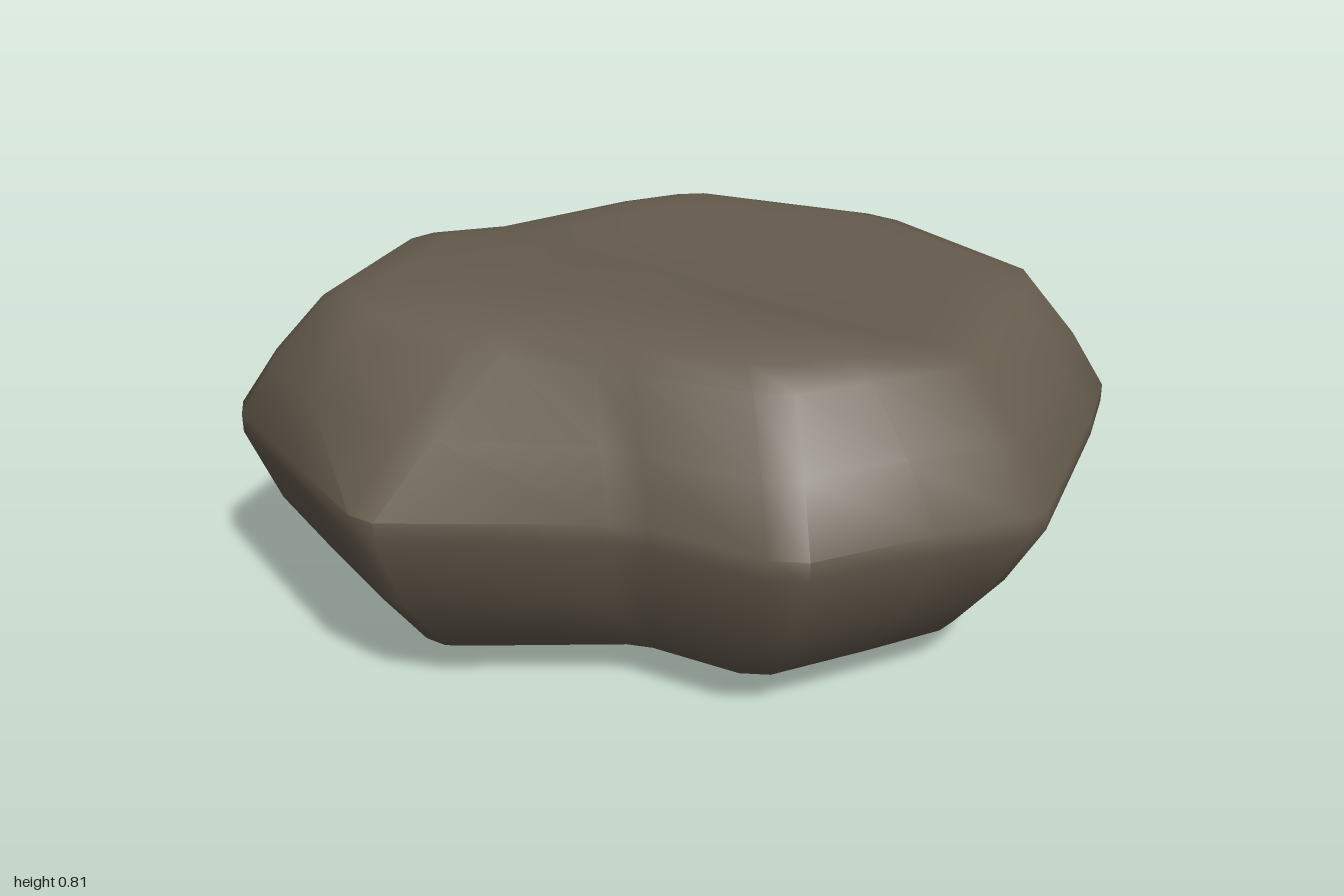
import * as THREE from 'three';
import { toCreasedNormals } from 'three/addons/utils/BufferGeometryUtils.js';

// Outline of the widest girdle and of the shoulder: [girdleX, girdleZ, shoulderX, shoulderZ]
const OUTLINE = [
  [-0.28, -1, -0.3, -0.79], [-0.2, -1, -0.22, -0.79], [0.05, -0.96, 0.04, -0.75],
  [0.5, -0.88, 0.47, -0.68], [0.79, -0.78, 0.63, -0.62], [0.84, -0.72, 0.69, -0.57],
  [1, -0.07, 0.84, -0.08], [1, 0.02, 0.84, 0.02], [0.84, 0.66, 0.69, 0.52],
  [0.79, 0.72, 0.63, 0.58], [0.58, 0.81, 0.48, 0.64], [0.05, 1, 0.06, 0.79],
  [-0.02, 1, -0.01, 0.79], [-0.24, 0.91, -0.2, 0.7], [-0.51, 0.79, -0.36, 0.62],
  [-0.56, 0.72, -0.41, 0.55], [-0.62, 0.45, -0.5, 0.3], [-0.66, 0.37, -0.53, 0.2],
  [-0.99, 0, -0.62, 0], [-1, -0.07, -0.66, -0.08], [-0.93, -0.36, -0.78, -0.36],
  [-0.84, -0.71, -0.7, -0.56], [-0.79, -0.78, -0.63, -0.63],
];

// The top is slightly higher on the model's right, easing down near the middle
const topHeight = (x) => 0.76 + 0.05 * (1 - THREE.MathUtils.smoothstep(x, -0.22, 0.08));
const girdleHeight = (x) => 0.44 + 0.4 * (topHeight(x) - 0.785);

// Scaled copy of the shoulder outline; lift blends from the level rim to the raised top
const plateau = (s, lift) => OUTLINE.map(([, , x, z]) =>
  [x * s, THREE.MathUtils.lerp(0.757, topHeight(x * s), lift), z * s]);

// Upper flank: t = 0 at the shoulder, 1 at the girdle
const flank = (t, bulge) => OUTLINE.map(([mx, mz, tx, tz]) => {
  const x = THREE.MathUtils.lerp(tx, mx, t) * bulge;
  const z = THREE.MathUtils.lerp(tz, mz, t) * bulge;
  return [x, THREE.MathUtils.lerp(0.742, girdleHeight(mx) + 0.02, t), z];
});

// Scaled copy of the girdle outline
const lower = (sx, sz, y) => OUTLINE.map(([x, z]) => [x * sx, y(x), z * sz]);

function loft(rings) {
  const pos = [];
  const n = OUTLINE.length;
  const key = (p) => p.join();
  const tri = (a, b, c) => {
    if (key(a) !== key(b) && key(b) !== key(c) && key(c) !== key(a)) pos.push(...a, ...b, ...c);
  };
  for (let r = 0; r < rings.length - 1; r++) {
    for (let i = 0; i < n; i++) {
      const j = (i + 1) % n;
      const a = rings[r][i], b = rings[r][j], d = rings[r + 1][i], e = rings[r + 1][j];
      tri(b, e, d);
      tri(b, d, a);
    }
  }
  const geo = new THREE.BufferGeometry();
  geo.setAttribute('position', new THREE.Float32BufferAttribute(pos, 3));
  return toCreasedNormals(geo, 0.8);
}

export function createModel() {
  const group = new THREE.Group();
  group.name = 'rock';
  const apex = (y) => OUTLINE.map(() => [0, y, 0]);

  const rings = [
    // flat top with a rounded rim
    apex(topHeight(0)), plateau(0.25, 1), plateau(0.5, 1), plateau(0.78, 1), plateau(0.92, 0.55),
    // shoulder and upper flank
    flank(0, 1), flank(0.5, 1.015), flank(1, 1),
    // girdle and lower flank
    lower(1, 1, (x) => girdleHeight(x) - 0.025),
    lower(0.94, 0.91, () => 0.25), lower(0.83, 0.79, () => 0.1),
    // shallow underside, a little flatter on the model's right
    lower(0.77, 0.73, () => 0.072),
    lower(0.35, 0.35, (x) => 0.036 + 0.008 * THREE.MathUtils.smoothstep(-x, 0, 0.6)),
    lower(0.05, 0.05, () => 0.004), apex(0),
  ];

  const stone = new THREE.Mesh(
    loft(rings),
    new THREE.MeshStandardMaterial({ color: 0x665c4e }),
  );
  stone.name = 'stone';
  group.add(stone);
  return group;
}
